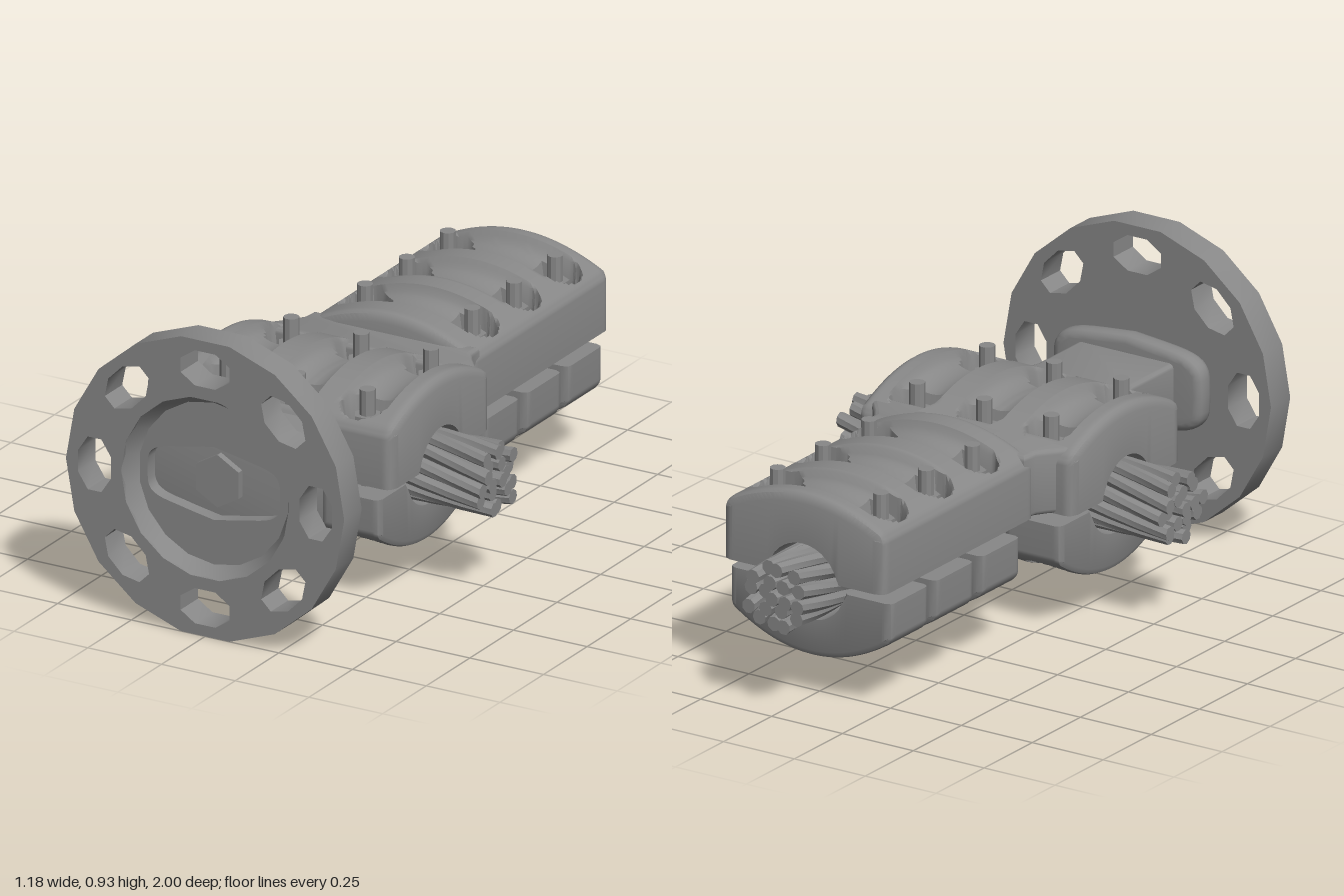
import * as THREE from 'three';
import { toCreasedNormals } from 'three/addons/utils/BufferGeometryUtils.js';

const steel = new THREE.MeshStandardMaterial({ color: 0x888888 });
steel.name = 'plain steel';

const CY = 0.37;      // height of both cable axes
const HALF = 0.285;   // half width of a clamp across its cable
const BOLT = 0.182;   // bolt offset from the cable axis

function add(parent, name, geometry, crease = 0.6) {
  const mesh = new THREE.Mesh(toCreasedNormals(geometry, crease), steel);
  mesh.name = name;
  parent.add(mesh);
  return mesh;
}

// Rounded edge: how far the surface drops at distance d from the edge
const drop = (d, r) => (d >= r ? 0 : r - Math.sqrt(Math.max(0, r * r - (r - d) ** 2)));

// Arched clamp half: cable along z, bore below, bolt channels sunk in the top
function clampHalf({ length, channels, crown, shoulder, pocket, steps, round }) {
  const n = 48, ring = 2 * (n + 1), pos = [], idx = [];
  for (let j = 0; j <= steps; j++) {
    const v = length * (j / steps - 0.5);
    const endGap = length / 2 - Math.abs(v);
    const w = HALF - drop(endGap, round);
    const top = [], bottom = [];
    for (let i = 0; i <= n; i++) {
      const u = w * Math.sin(Math.PI * (i / n - 0.5));
      let h = crown - (crown - shoulder) * (u / HALF) ** 2;
      h -= Math.max(drop(w - Math.abs(u), round), drop(endGap, round));
      for (const c of channels) {
        const d = Math.hypot(Math.max(Math.abs(u) - BOLT, 0), v - c) / 0.077;
        if (d < 1) h -= 0.05 * Math.sqrt(1 - d * d);
        if (Math.hypot(Math.abs(u) - BOLT, v - c) < 0.071) h = Math.min(h, pocket);
      }
      top.push([u, h, v]);
      bottom.push([u, Math.max(0.02, Math.sqrt(Math.max(0, 0.125 ** 2 - u * u))), v]);
    }
    for (const p of [...top, ...bottom.reverse()]) pos.push(...p);
  }
  for (let j = 0; j < steps; j++) {
    for (let k = 0; k < ring; k++) {
      const a = j * ring + k, b = j * ring + (k + 1) % ring;
      idx.push(a, a + ring, b + ring, a, b + ring, b);
    }
  }
  // End faces
  const last = steps * ring;
  for (let i = 0; i < n; i++) {
    const a = i, b = i + 1, c = ring - 2 - i, d = ring - 1 - i;
    idx.push(a, b, c, a, c, d);
    idx.push(last + a, last + c, last + b, last + a, last + d, last + c);
  }
  const g = new THREE.BufferGeometry();
  g.setAttribute('position', new THREE.Float32BufferAttribute(pos, 3));
  g.setIndex(idx);
  return g;
}

// Twisted strands laid along z from z0 to z1, with uneven ends
function cable(parent, z0, z1, ragged0) {
  const group = new THREE.Group();
  group.name = 'strandedCable';
  let count = 0;
  for (const [num, radius] of [[1, 0], [6, 0.046], [12, 0.09]]) {
    for (let i = 0; i < num; i++) {
      const jitter = (count++ * 7 % 5) * 0.008;
      const start = z0 + (ragged0 ? jitter : 0), len = z1 - jitter - start;
      const g = new THREE.CylinderGeometry(0.023, 0.023, len, 8, 12);
      g.rotateX(Math.PI / 2).translate(0, 0, start + len / 2);
      const p = g.attributes.position, angle0 = (i / num) * Math.PI * 2;
      for (let k = 0; k < p.count; k++) {
        const z = p.getZ(k), a = angle0 + 2 * z;
        const x = p.getX(k) + radius, y = p.getY(k);
        p.setXY(k, x * Math.cos(a) - y * Math.sin(a), x * Math.sin(a) + y * Math.cos(a));
      }
      add(group, 'strand', g);
    }
  }
  parent.add(group);
}

// Full clamp: saddle, keepers below, and a pair of bolts through each channel
function clamp(parent, name, length, channels) {
  const group = new THREE.Group();
  group.name = name;
  parent.add(group);
  add(group, 'saddle', clampHalf({
    length, channels, crown: 0.28, shoulder: 0.2, pocket: 0.15, steps: 84, round: 0.03,
  }));
  const keeper = clampHalf({
    length: 0.2, channels: [0], crown: 0.24, shoulder: 0.14, pocket: 0.09, steps: 26, round: 0.02,
  });
  for (const c of channels) {
    const k = add(group, 'keeper', keeper);
    k.rotation.z = Math.PI;
    k.position.z = c;
    for (const side of [-1, 1]) {
      const part = (label, r, y0, y1, sides) => add(group, label,
        new THREE.CylinderGeometry(r, r, y1 - y0, sides)).position.set(side * BOLT, (y0 + y1) / 2, c);
      part('bolt', 0.024, -0.17, 0.28, 10);
      part('washer', 0.055, 0.145, 0.165, 16);
      part('nut', 0.042, 0.165, 0.2, 6);
      part('boltHead', 0.045, -0.13, -0.085, 6);
    }
  }
  return group;
}

// Closed loop of points around an ellipse
function loop(cx, cy, rx, ry, sides, phase, turn = 0) {
  return Array.from({ length: sides }, (_, i) => {
    const a = phase + (i / sides) * Math.PI * 2;
    return new THREE.Vector2(rx * Math.cos(a), ry * Math.sin(a))
      .rotateAround(new THREE.Vector2(), turn).add(new THREE.Vector2(cx, cy));
  });
}

// Long oval with a swollen middle
function lobe(rx, ry, swell) {
  return Array.from({ length: 40 }, (_, i) => {
    const a = (i / 40) * Math.PI * 2, c = Math.cos(a), s = Math.sin(a);
    const x = rx * Math.sign(c) * Math.sqrt(Math.abs(c));
    const y = Math.sign(s) * (ry * Math.sqrt(Math.abs(s)) + swell * Math.exp(-((x / 0.09) ** 2)) * Math.abs(s));
    return new THREE.Vector2(x, y);
  });
}

function slab(points, holes, depth, bevel = 0) {
  const shape = new THREE.Shape(points);
  shape.holes = holes.map((h) => new THREE.Path(h));
  return new THREE.ExtrudeGeometry(shape, {
    depth: depth - 2 * bevel, bevelEnabled: bevel > 0, bevelSize: bevel,
    bevelThickness: bevel, bevelOffset: -bevel, bevelSegments: 3,
  }).translate(0, 0, bevel);
}

// Horizontal block whose half width follows [z, halfWidth] pairs
function web(profile, y0, y1) {
  const right = profile.map(([z, w]) => new THREE.Vector2(w, -z));
  const left = profile.map(([z, w]) => new THREE.Vector2(-w, -z)).reverse();
  return slab([...right, ...left], [], y1 - y0, 0.015).rotateX(-Math.PI / 2).translate(0, y0, 0);
}

export function createModel() {
  const model = new THREE.Group();
  model.name = 'cableClampFitting';

  // Round flange with bolt holes and a dished centre
  const flange = new THREE.Group();
  flange.name = 'flange';
  flange.position.set(0, 0.47, 0);
  model.add(flange);
  const holes = Array.from({ length: 8 }, (_, i) => {
    const a = (i * Math.PI) / 4;
    return loop(0.375 * Math.cos(a), 0.375 * Math.sin(a), 0.06, 0.09, 8, Math.PI / 8, a);
  });
  const rim = loop(0, 0, 0.285, 0.285, 18, Math.PI / 18 * 2);
  add(flange, 'flangeRing', slab(loop(0, 0, 0.472, 0.472, 18, 0), [...holes, rim], 0.1)).position.z = 0.9;
  const wall = new THREE.CylinderGeometry(0.288, 0.255, 0.05, 18, 1, true).rotateX(Math.PI / 2);
  wall.setIndex(Array.from(wall.index.array).reverse());
  add(flange, 'dishWall', wall).position.z = 0.975;
  const pocket = lobe(0.225, 0.09, 0.025);
  add(flange, 'dishFloor', slab(loop(0, 0, 0.288, 0.288, 18, 0), [pocket], 0.05)).position.z = 0.9;
  add(flange, 'rearBoss', slab(lobe(0.265, 0.13, 0.012), [], 0.07, 0.025)).position.z = 0.838;
  add(flange, 'hexBoss', new THREE.CylinderGeometry(0.083, 0.083, 0.03, 6).rotateX(Math.PI / 2))
    .position.z = 0.915;

  // Neck and the web joining the two clamps
  add(model, 'neck', web([[0.87, 0.17], [0.63, 0.17], [0.59, 0.18], [0.54, 0.21]], 0.39, 0.56));
  add(model, 'joiningWeb', web([[0.08, 0.37], [0.04, 0.355], [-0.02, 0.305], [-0.05, 0.285], [-0.1, 0.28]], 0.39, 0.59));

  // Crosswise clamp, its cable running through along x
  const cross = clamp(model, 'crossClamp', 0.76, [-0.237, 0, 0.237]);
  cross.rotation.y = Math.PI / 2;
  cross.position.set(0, CY, 0.287);
  cable(cross, -0.59, 0.59, true);

  // Lengthwise clamp at the back
  const rear = clamp(model, 'rearClamp', 0.79, [-0.255, -0.02, 0.22]);
  rear.position.set(0, CY, -0.445);
  const run = new THREE.Group();
  run.name = 'rearCable';
  run.rotation.y = Math.PI;
  run.position.set(0, CY, 0);
  model.add(run);
  cable(run, 0.05, 1, false);

  return model;
}
